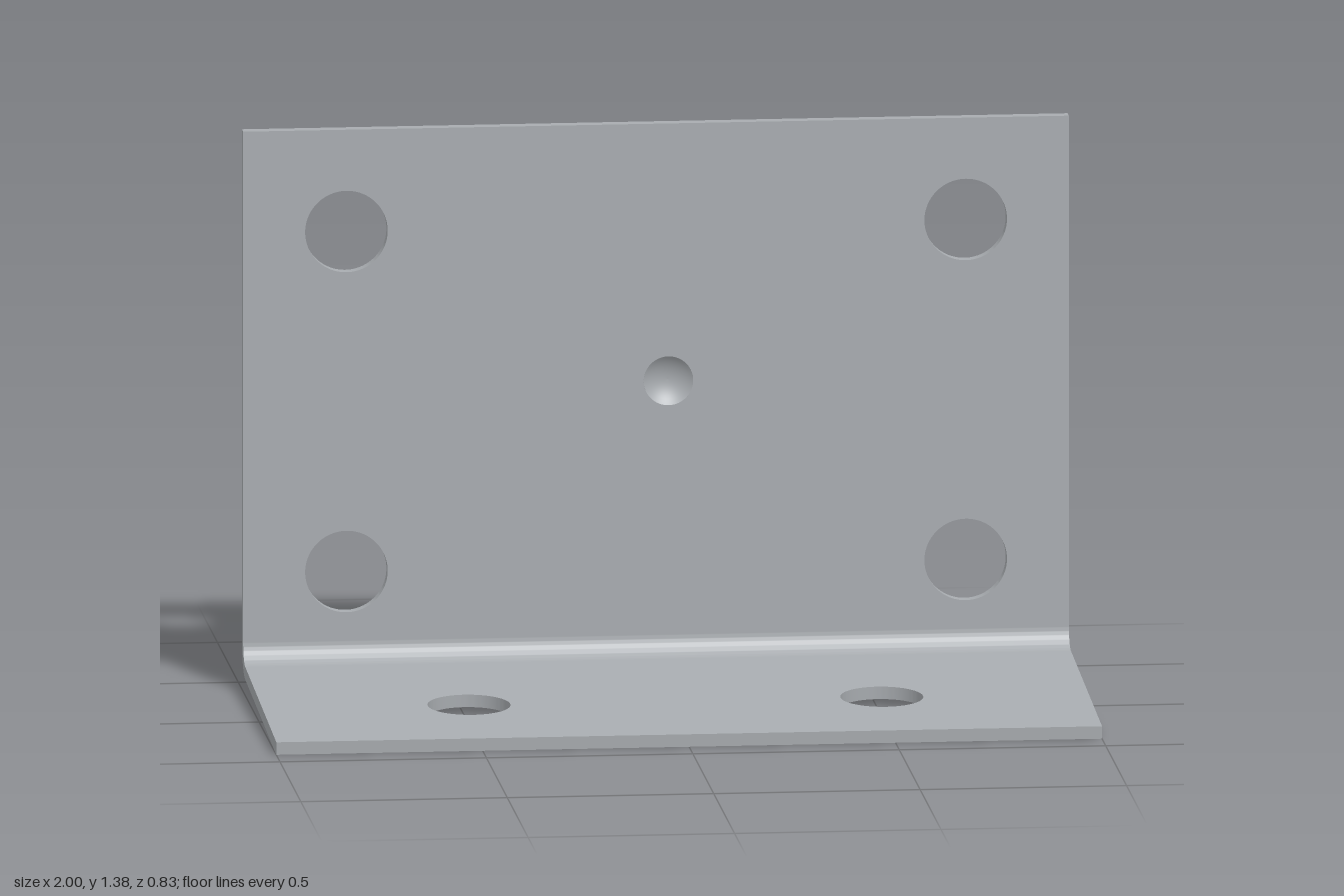
import * as THREE from 'three';
import { toCreasedNormals } from 'three/addons/utils/BufferGeometryUtils.js';

const WIDTH = 2, T = 0.031;            // bracket width and sheet thickness
const BACK = -0.413, FACE = BACK + T;  // rear and front planes of the upright plate
const TOP = 1.375;
const TILT = THREE.MathUtils.degToRad(3);
const R_IN = 0.05, R_OUT = R_IN + T;   // bend radii
const BEND_Y = 0.12, BEND_Z = FACE + R_IN;
const FOOT = 0.7487;                   // flat length of the foot
const SEG = 48;

// Flat sheet from y0 to y1 with round holes [x, y, radius], extruded along z
function sheet(y0, y1, holes) {
  const w = WIDTH / 2;
  const shape = new THREE.Shape([
    new THREE.Vector2(-w, y0), new THREE.Vector2(w, y0),
    new THREE.Vector2(w, y1), new THREE.Vector2(-w, y1),
  ]);
  for (const [x, y, r] of holes) {
    shape.holes.push(new THREE.Path().absarc(x, y, r, 0, Math.PI * 2, true));
  }
  const geo = new THREE.ExtrudeGeometry(shape, { depth: T, bevelEnabled: false, curveSegments: SEG });
  return toCreasedNormals(geo, 0.5);
}

export function createModel() {
  const group = new THREE.Group();
  group.name = 'angleBracket';
  const steel = new THREE.MeshStandardMaterial({ color: 0xa8acb0 });
  steel.name = 'steelGrey';

  const add = (name, geo) => {
    const mesh = new THREE.Mesh(geo, steel);
    mesh.name = name;
    group.add(mesh);
    return mesh;
  };

  // Upright plate with four screw holes and an opening for the dimple
  const dimple = { x: 0.03, y: 0.743, r: 0.06, depth: 0.022 };
  const upright = add('uprightPlate', sheet(BEND_Y, TOP, [
    [-0.75, 1.125, 0.1], [0.75, 1.125, 0.1],
    [-0.75, 0.29, 0.1], [0.75, 0.29, 0.1],
    [dimple.x, dimple.y, dimple.r],
  ]));
  upright.position.z = BACK;

  // Shallow spherical dimple in the front face
  const sphereR = (dimple.r ** 2 + dimple.depth ** 2) / (2 * dimple.depth);
  const halfAngle = Math.asin(dimple.r / sphereR);
  const profile = [];
  for (let i = 0; i <= 8; i++) {
    const a = halfAngle * (1 - i / 8);
    profile.push(new THREE.Vector2(sphereR * Math.sin(a), sphereR * (Math.cos(halfAngle) - Math.cos(a))));
  }
  const bowl = add('dimple', new THREE.LatheGeometry(profile, SEG));
  bowl.rotation.x = Math.PI / 2;
  bowl.position.set(dimple.x, dimple.y, FACE);

  // Closed rear face behind the dimple
  const rear = add('dimpleBack', new THREE.CircleGeometry(dimple.r, SEG));
  rear.rotation.y = Math.PI;
  rear.position.set(dimple.x, dimple.y, BACK);

  // Rounded bend joining upright and foot
  const arc = new THREE.Shape();
  const end = Math.PI * 1.5 - TILT;
  arc.absarc(0, 0, R_OUT, Math.PI, end, false);
  arc.absarc(0, 0, R_IN, end, Math.PI, true);
  const bend = add('bend', toCreasedNormals(
    new THREE.ExtrudeGeometry(arc, { depth: WIDTH, bevelEnabled: false, curveSegments: 16 }), 0.5));
  bend.rotation.y = -Math.PI / 2;
  bend.position.set(WIDTH / 2, BEND_Y, BEND_Z);

  // Foot plate, sloping slightly down towards the front, with two holes
  const foot = add('footPlate', sheet(0, FOOT, [[-0.5, 0.416, 0.1], [0.5, 0.416, 0.1]]));
  foot.rotation.x = Math.PI / 2 + TILT;
  foot.position.set(0, BEND_Y - R_IN * Math.cos(TILT), BEND_Z - R_IN * Math.sin(TILT));

  return group;
}
